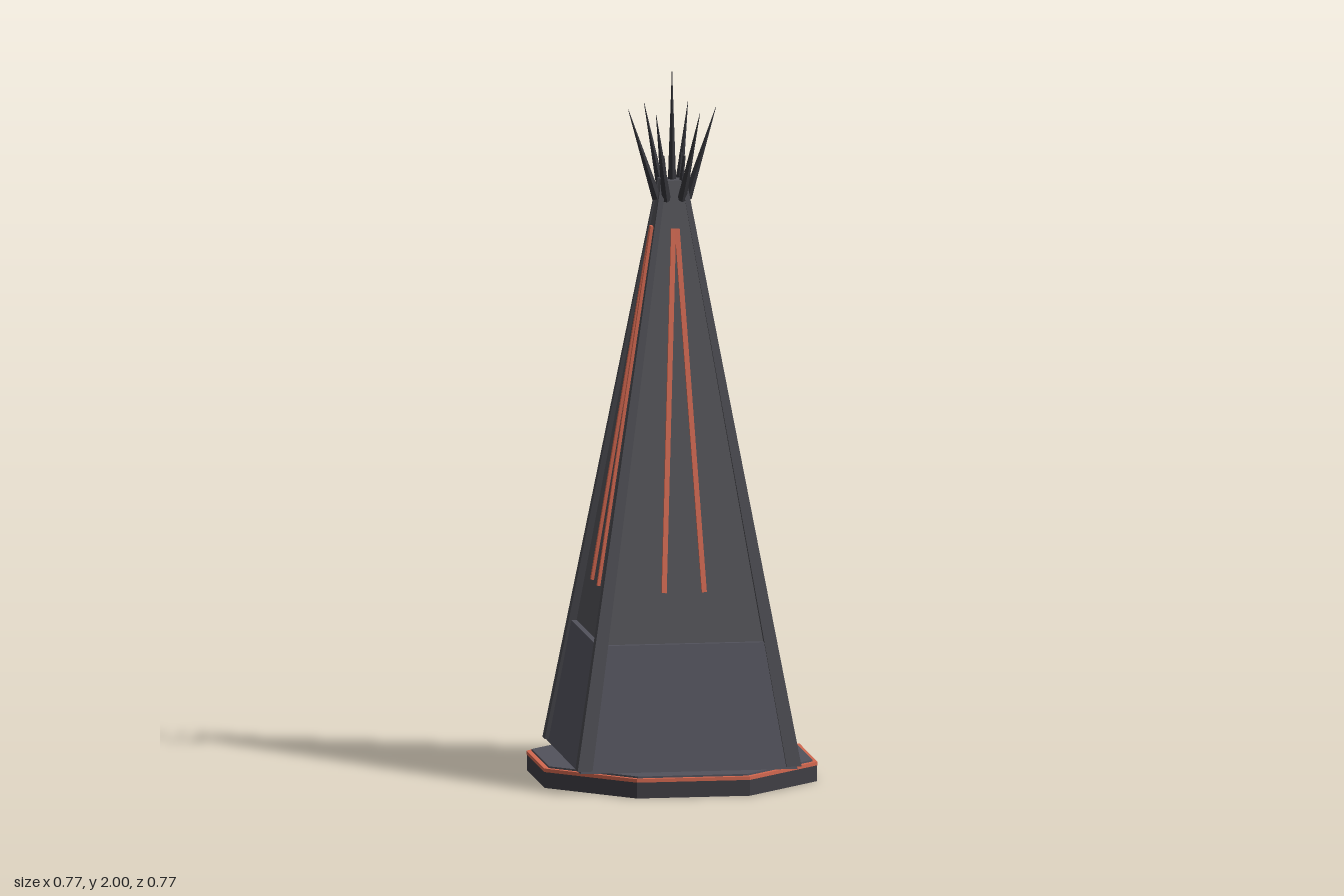
import * as THREE from 'three';
import { ConvexGeometry } from 'three/addons/geometries/ConvexGeometry.js';

const mat = (name, color) => {
  const m = new THREE.MeshStandardMaterial({ color, flatShading: true });
  m.name = name;
  return m;
};

export function createModel() {
  const model = new THREE.Group();
  model.name = 'spireTower';
  const stone = mat('dark stone', 0x505056);
  const slate = mat('blue slate', 0x52525c);
  const beamGrey = mat('beam grey', 0x49494f);
  const baseGrey = mat('base grey', 0x3f3d43);
  const iron = mat('dark iron', 0x333338);
  const red = mat('ember red', 0xd2674f);

  const add = (name, geometry, material, parent = model) => {
    const mesh = new THREE.Mesh(geometry, material);
    mesh.name = name;
    parent.add(mesh);
    return mesh;
  };

  // Straight-sided prism given by half widths across the flats
  const prism = (sides, bottom, top, y0, y1) => {
    const k = 1 / Math.cos(Math.PI / sides);
    return new THREE.CylinderGeometry(top * k, bottom * k, y1 - y0, sides)
      .rotateY(Math.PI / sides)
      .translate(0, (y0 + y1) / 2, 0);
  };

  // Four-sided spike between two points
  const spike = (name, from, to, r0, r1) => {
    const a = new THREE.Vector3(...from), b = new THREE.Vector3(...to);
    const dir = b.clone().sub(a);
    const mesh = add(name, new THREE.CylinderGeometry(r1, r0, dir.length(), 4), iron);
    mesh.position.copy(a).add(b).multiplyScalar(0.5);
    mesh.quaternion.setFromUnitVectors(new THREE.Vector3(0, 1, 0), dir.normalize());
  };

  // Octagonal base with a red rim
  add('base', prism(8, 0.386, 0.386, 0, 0.045), baseGrey);
  add('baseRim', prism(8, 0.387, 0.387, 0.045, 0.055), red);
  add('baseTop', prism(8, 0.373, 0.373, 0.05, 0.06), slate);

  // Tapering square body, stepped in above the skirt
  add('lowerBody', prism(4, 0.307, 0.25, 0.06, 0.412), slate);
  add('upperBody', prism(4, 0.237, 0.033, 0.4, 1.69), stone);

  // Corner beams and red light strips, repeated on the four sides
  const beamPoints = [];
  for (const [y, inner, outer] of [[0.068, 0.275, 0.317], [1.69, 0.022, 0.036]])
    for (const x of [inner, outer])
      for (const z of [inner, outer]) beamPoints.push(new THREE.Vector3(x, y, z));
  const beamGeo = new ConvexGeometry(beamPoints);
  const stripGeo = new THREE.BoxGeometry(0.014, 1.02, 0.014);

  for (let i = 0; i < 4; i++) {
    const side = new THREE.Group();
    side.name = 'side';
    side.rotation.y = i * Math.PI / 2;
    model.add(side);
    add('cornerBeam', beamGeo, beamGrey, side);
    for (const s of [-1, 1]) {
      const top = new THREE.Vector3(s * 0.005, 1.56, 0.055);
      const bottom = new THREE.Vector3(s * 0.057, 0.55, 0.215);
      const strip = add('lightStrip', stripGeo, red, side);
      strip.position.copy(top).add(bottom).multiplyScalar(0.5);
      const up = top.sub(bottom).normalize();
      const right = new THREE.Vector3().crossVectors(up, new THREE.Vector3(0, 0, 1)).normalize();
      const out = new THREE.Vector3().crossVectors(right, up);
      strip.quaternion.setFromRotationMatrix(new THREE.Matrix4().makeBasis(right, up, out));
    }
  }

  // Crown: central spire, six leaning spikes, four short corner prongs
  spike('centralSpire', [0, 1.65, 0], [0, 2, 0], 0.013, 0.0005);
  for (let i = 0; i < 6; i++) {
    const c = Math.cos(i * Math.PI / 3), s = Math.sin(i * Math.PI / 3);
    spike('crownSpike', [c * 0.043, 1.635, s * 0.043], [c * 0.124, 1.89, s * 0.124], 0.013, 0.0005);
  }
  for (const x of [-1, 1])
    for (const z of [-1, 1])
      spike('cornerProng', [x * 0.02, 1.66, z * 0.02], [x * 0.03, 1.76, z * 0.03], 0.007, 0.004);

  // Octagonal portal on the back, partly sunk into the sloping wall
  const disc = (r, z0, z1) => new THREE.CylinderGeometry(r, r, z1 - z0, 8)
    .rotateY(Math.PI / 2).rotateX(Math.PI / 2).translate(0, 0.283, (z0 + z1) / 2);
  add('portalFrame', disc(0.116, -0.272, -0.22), iron);
  add('portal', disc(0.097, -0.279, -0.24), red);

  return model;
}
